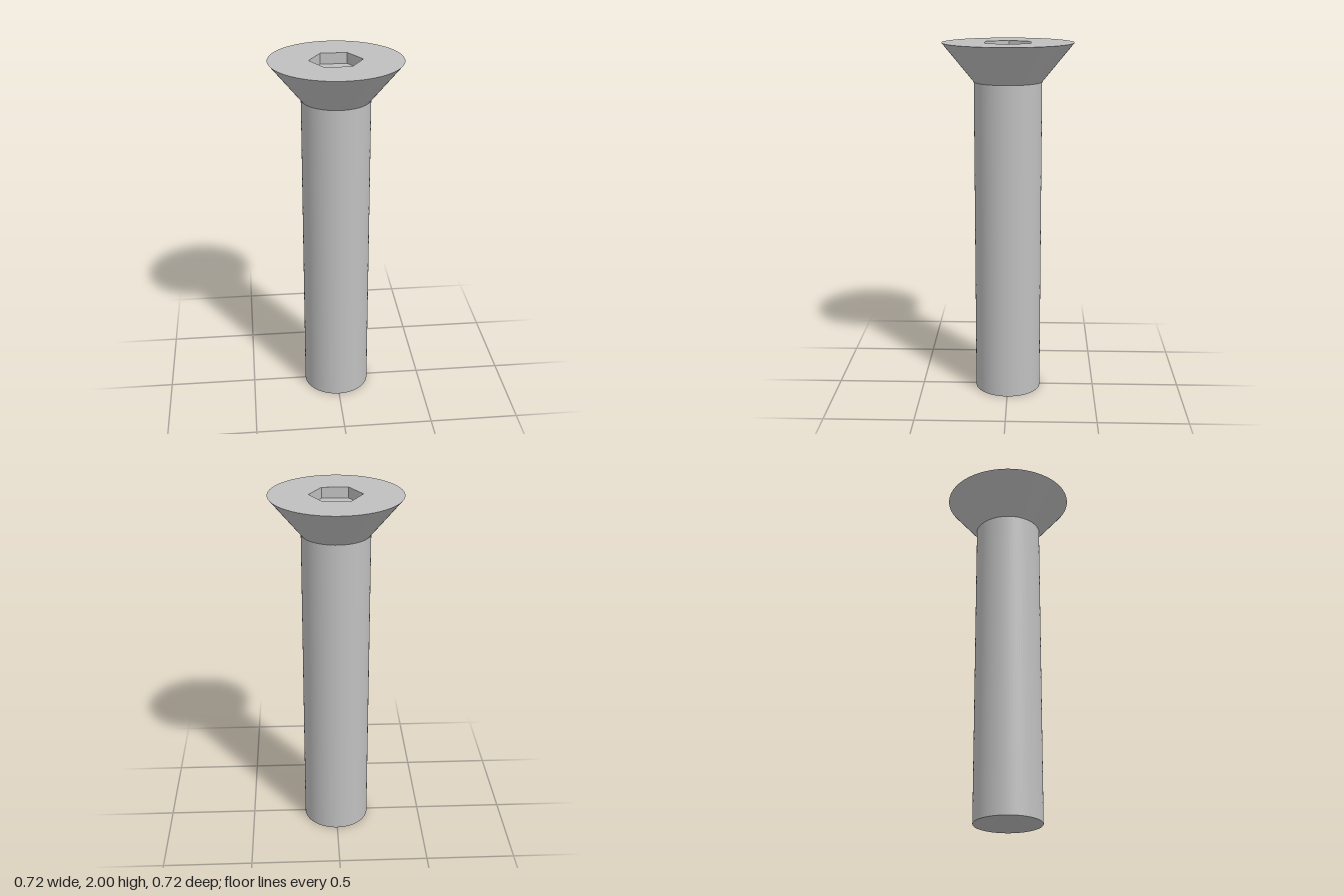
import * as THREE from 'three';

const SHANK_R = 0.1875, HEAD_R = 0.361, HEAD_Y = 1.7875, TOP = 2;
const HEX_R = 0.1443, SOCKET_DEPTH = 0.06, SEGMENTS = 96;

export function createModel() {
  const group = new THREE.Group();
  const steel = new THREE.MeshStandardMaterial({ color: 0xc0c0c0 });
  steel.name = 'steel grey';

  const add = (name, geometry, y = 0) => {
    const mesh = new THREE.Mesh(geometry, steel);
    mesh.name = name;
    mesh.position.y = y;
    group.add(mesh);
  };

  // Plain round shank and its flat end
  add('shank', new THREE.CylinderGeometry(SHANK_R, SHANK_R, HEAD_Y, SEGMENTS, 1, true), HEAD_Y / 2);
  add('shankEnd', new THREE.CircleGeometry(SHANK_R, SEGMENTS).rotateX(Math.PI / 2));

  // Countersunk cone under the head
  add('headCone', new THREE.CylinderGeometry(HEAD_R, SHANK_R, TOP - HEAD_Y, SEGMENTS, 1, true), (TOP + HEAD_Y) / 2);

  // Flat head face with a hexagonal opening, corners on the x axis
  const face = new THREE.Shape().absarc(0, 0, HEAD_R, 0, Math.PI * 2);
  const corners = Array.from({ length: 6 }, (_, i) =>
    new THREE.Vector2(Math.cos(i * Math.PI / 3), Math.sin(i * Math.PI / 3)).multiplyScalar(HEX_R));
  face.holes.push(new THREE.Path(corners));
  add('headFace', new THREE.ShapeGeometry(face, SEGMENTS).rotateX(-Math.PI / 2), TOP);

  // Socket walls facing inward: profile runs downward
  const wallProfile = [new THREE.Vector2(HEX_R, 0), new THREE.Vector2(HEX_R, -SOCKET_DEPTH)];
  const walls = new THREE.LatheGeometry(wallProfile, 6, Math.PI / 2).toNonIndexed();
  walls.computeVertexNormals();
  add('socketWalls', walls, TOP);

  // Socket floor
  add('socketFloor', new THREE.CircleGeometry(HEX_R, 6).rotateX(-Math.PI / 2), TOP - SOCKET_DEPTH);

  return group;
}
